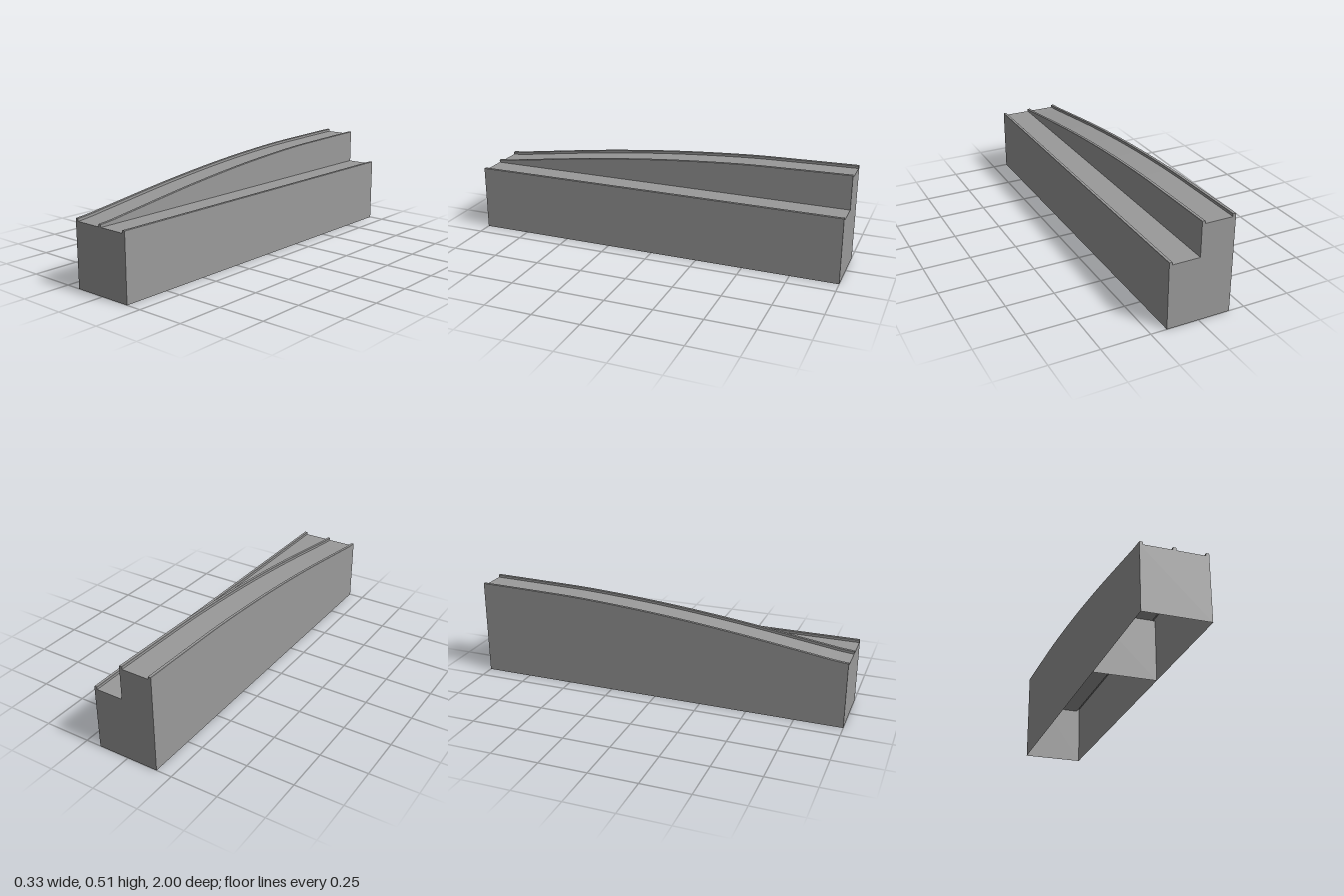
import * as THREE from 'three';
import { toCreasedNormals } from 'three/addons/utils/BufferGeometryUtils.js';

const W = 0.167;         // half width
const DECK = 0.333;      // height of the level lane
const CURB = 0.014;      // curb height above a lane
const T = 0.016;         // curb width
const B = 0.0012;        // bevel on the curb tops
const MID = 0.008;       // inner face of the ramp

const material = new THREE.MeshStandardMaterial({ color: 0x9a9a9a, side: THREE.DoubleSide });

// Rise of the ramp above the level lane, from front (z = 1) to back (z = -1)
const riseCurve = new THREE.SplineCurve([
  [-1, 0.166], [-0.7, 0.16], [-0.4, 0.151], [0, 0.123], [0.4, 0.08], [0.8, 0.025], [0.92, 0.008], [1, 0],
].map(([z, r]) => new THREE.Vector2(z, r)));
const stations = riseCurve.getPoints(42);

// Section points are [x, y, lift]; lift 1 follows the ramp, 0 stays level
const pointAt = ([x, y, lift], s) => [x, y + lift * s.y, s.x];

// Curb section running from its +x side to its -x side
const curb = (x, lift) => [
  [x, DECK, lift], [x, DECK + CURB - B, lift], [x - B, DECK + CURB, lift],
  [x - T + B, DECK + CURB, lift], [x - T, DECK + CURB - B, lift], [x - T, DECK, lift],
];

// Sweep an open section along the length
function sweep(name, section) {
  const pos = [];
  for (let i = 0; i < stations.length - 1; i++) {
    for (let j = 0; j < section.length - 1; j++) {
      const a = pointAt(section[j], stations[i]), b = pointAt(section[j + 1], stations[i]);
      const c = pointAt(section[j + 1], stations[i + 1]), d = pointAt(section[j], stations[i + 1]);
      pos.push(...a, ...b, ...c, ...a, ...c, ...d);
    }
  }
  const geo = new THREE.BufferGeometry();
  geo.setAttribute('position', new THREE.Float32BufferAttribute(pos, 3));
  const mesh = new THREE.Mesh(toCreasedNormals(geo, 0.4), material);
  mesh.name = name;
  return mesh;
}

// Flat wall filling the whole section at one station
function crossWall(name, outline, z, rise) {
  const shape = new THREE.Shape(outline.map(([x, y, lift]) => new THREE.Vector2(x, y + lift * rise)));
  const geo = new THREE.ShapeGeometry(shape);
  if (z < 0) { // turn the back wall outwards
    geo.index.array.reverse();
    geo.computeVertexNormals();
  }
  geo.translate(0, 0, z);
  const mesh = new THREE.Mesh(geo, material);
  mesh.name = name;
  return mesh;
}

export function createModel() {
  const group = new THREE.Group();
  group.name = 'rampBlock';

  const levelCurb = curb(W, 0);
  const innerCurb = curb(MID, 1);
  const outerCurb = curb(-W + T, 1);

  // Long walls
  group.add(sweep('leftWall', [[W, 0, 0], [W, DECK, 0]]));
  group.add(sweep('innerWall', [[MID, DECK, 0], [MID, DECK, 1]]));
  group.add(sweep('rightWall', [[-W, DECK, 1], [-W, 0, 0]]));

  // Lanes
  group.add(sweep('levelLane', [[W - T, DECK, 0], [MID, DECK, 0]]));
  group.add(sweep('rampLane', [[MID - T, DECK, 1], [-W + T, DECK, 1]]));

  // Curbs
  group.add(sweep('levelCurb', levelCurb));
  group.add(sweep('rampInnerCurb', innerCurb));
  group.add(sweep('rampOuterCurb', outerCurb));

  // End walls and the partition inside the hollow, open-bottomed body
  const outline = [[W, 0, 0], ...levelCurb, [MID, DECK, 0], ...innerCurb, ...outerCurb, [-W, 0, 0]];
  group.add(crossWall('frontWall', outline, 1, 0));
  group.add(crossWall('backWall', outline, -1, stations[0].y));
  group.add(crossWall('partition', [[W, 0, 0], [W, DECK, 0], [-W, DECK, 0], [-W, 0, 0]], 0.335, 0));
  return group;
}
